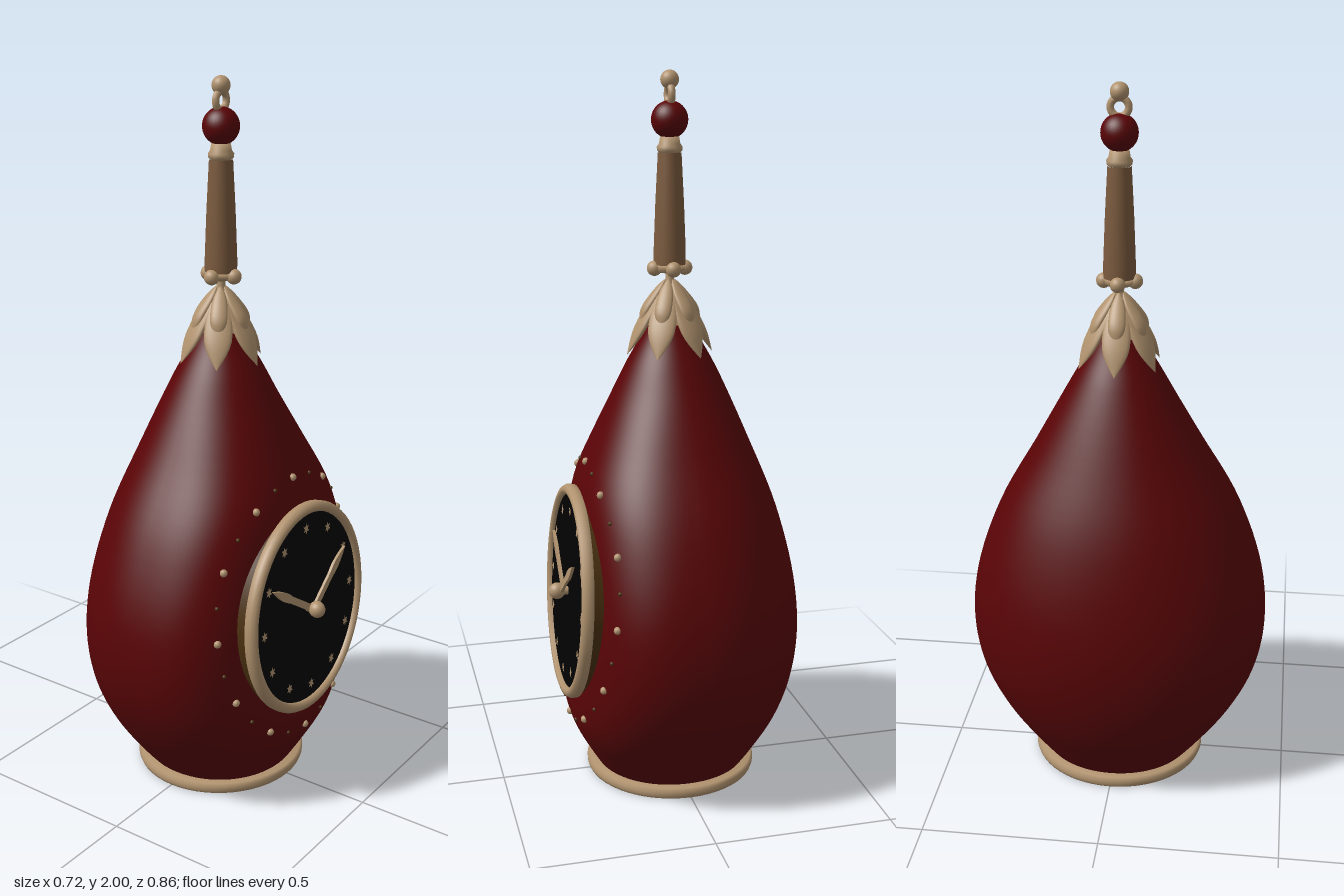
import * as THREE from 'three';
import { mergeVertices } from 'three/addons/utils/BufferGeometryUtils.js';

const mat = (name, color) => {
  const m = new THREE.MeshStandardMaterial({ color });
  m.name = name;
  return m;
};

export function createModel() {
  const root = new THREE.Group();
  root.name = 'pearClock';
  const red = mat('deep red', 0x590406);
  const tan = mat('pale wood', 0xb1936f);
  const brown = mat('brown wood', 0x7c5b3e);
  const dark = mat('dark bronze', 0x4a3010);
  const black = mat('black', 0x020202);

  const add = (parent, name, geo, m, x = 0, y = 0, z = 0) => {
    const mesh = new THREE.Mesh(geo, m);
    mesh.name = name;
    mesh.position.set(x, y, z);
    parent.add(mesh);
    return mesh;
  };
  const lathe = (pts, seg = 40) => new THREE.LatheGeometry(pts.map(p => new THREE.Vector2(...p)), seg);

  // Body: oval sections (x radius, height, z radius), squarer and flatter on the dial side
  const sections = [
    [0.212, 0.02, 0.215], [0.248, 0.08, 0.265], [0.311, 0.2, 0.35], [0.347, 0.32, 0.407], [0.361, 0.45, 0.43],
    [0.348, 0.6, 0.417], [0.298, 0.8, 0.35], [0.218, 1.0, 0.24], [0.128, 1.2, 0.13], [0.073, 1.3, 0.073], [0.016, 1.42, 0.016],
  ].map(p => new THREE.Vector3(...p));
  const rows = new THREE.CatmullRomCurve3(sections).getPoints(60);
  const frontRadius = p => {
    const flat = 0.292 - 0.06 * (p.y - 0.56);
    return (p.x ** -20 + flat ** -20) ** (-1 / 20);
  };
  const frontPower = y => 2 + 0.8 * Math.sin(Math.PI * Math.min(1, y / 1.15));
  const bodyGeo = lathe(rows.map(p => [p.z, p.y]), 120);
  const pos = bodyGeo.attributes.position;
  for (let i = 0; i < pos.count; i++) {
    const p = rows[i % rows.length];
    const s = pos.getX(i) / p.z, c = pos.getZ(i) / p.z;
    const e = 2 / (s > 0 ? frontPower(p.y) : 2.04);
    const rx = s > 0 ? frontRadius(p) : p.x;
    pos.setX(i, Math.sign(s) * rx * Math.abs(s) ** e);
    pos.setZ(i, Math.sign(c) * p.z * Math.abs(c) ** e);
  }
  bodyGeo.deleteAttribute('uv');
  bodyGeo.deleteAttribute('normal');
  const smoothBody = mergeVertices(bodyGeo, 1e-5);
  smoothBody.computeVertexNormals();
  add(root, 'body', smoothBody, red);
  add(root, 'bodyBottom', new THREE.CircleGeometry(0.236, 48).rotateX(Math.PI / 2), red, 0, 0.005, 0);

  // Base ring
  const base = add(root, 'baseRing', lathe([
    [0.233, 0.02], [0.233, 0.002], [0.237, 0], [0.243, 0.002], [0.246, 0.01], [0.246, 0.022], [0.24, 0.031], [0.2, 0.034],
  ], 56), tan);
  base.scale.z = 1.03;

  // Dial: local z points out of the clock
  const tilt = new THREE.Group();
  tilt.name = 'dial';
  tilt.position.set(0.303, 0.563, 0);
  tilt.rotation.z = 0.06;
  root.add(tilt);
  const dial = new THREE.Group();
  dial.name = 'dialParts';
  dial.rotation.y = Math.PI / 2;
  dial.scale.x = 0.94;
  tilt.add(dial);
  const facing = g => g.rotateX(Math.PI / 2);
  add(dial, 'dialCase', facing(new THREE.CylinderGeometry(0.302, 0.297, 0.04, 64)), dark, 0, 0, -0.034);
  add(dial, 'dialPlate', new THREE.CircleGeometry(0.285, 64), black, 0, 0, -0.003);
  add(dial, 'dialRim', facing(lathe([
    [0.296, -0.026], [0.305, -0.02], [0.306, -0.004], [0.3, 0.007], [0.29, 0.011], [0.281, 0.009], [0.276, 0], [0.276, -0.02],
  ], 64)), tan);

  // Hour marks: thin stars on the dial
  const hourMark = new THREE.Shape();
  for (let i = 0; i < 12; i++) {
    const r = i % 2 ? 0.008 : 0.017, a = i * Math.PI / 6;
    hourMark[i ? 'lineTo' : 'moveTo'](r * Math.sin(a), r * Math.cos(a));
  }
  const markGeo = new THREE.ShapeGeometry(hourMark);
  for (let i = 0; i < 12; i++) {
    const a = i * Math.PI / 6;
    add(dial, 'hourMark', markGeo, tan, 0.236 * Math.sin(a), 0.236 * Math.cos(a), 0.001);
  }

  // Hands and hub
  const makeHand = (name, x, y, z) => {
    const len = Math.hypot(x, y);
    const s = new THREE.Shape();
    s.moveTo(-0.01, 0);
    s.lineTo(-0.01, len * 0.55);
    s.quadraticCurveTo(-0.019, len * 0.72, 0, len);
    s.quadraticCurveTo(0.019, len * 0.72, 0.01, len * 0.55);
    s.lineTo(0.01, 0);
    const g = new THREE.ExtrudeGeometry(s, { depth: 0.008, bevelEnabled: false, curveSegments: 8 });
    add(dial, name, g, tan, 0, 0, z).rotation.z = -Math.atan2(x, y);
  };
  makeHand('minuteHand', 0.18, 0.13, 0.014);
  makeHand('hourHand', -0.2, 0.12, 0.006);
  add(dial, 'handAxle', facing(new THREE.CylinderGeometry(0.012, 0.012, 0.03, 16)), tan, 0, 0, 0.012);
  add(dial, 'handHub', new THREE.SphereGeometry(0.024, 20, 14), tan, 0, 0, 0.028);

  // Studs set in the body around the dial: pale at the hours, dark between
  const surfaceX = (y, z) => {
    const k = rows.findIndex(p => p.y > y);
    const p = rows[k - 1].clone().lerp(rows[k], (y - rows[k - 1].y) / (rows[k].y - rows[k - 1].y));
    const n = frontPower(y);
    return frontRadius(p) * Math.max(0, 1 - Math.abs(z / p.z) ** n) ** (1 / n);
  };
  const bead = new THREE.SphereGeometry(0.006, 10, 8);
  for (let i = 0; i < 24; i++) {
    const a = i * Math.PI / 12;
    const y = 0.565 + 0.376 * Math.cos(a), z = 0.332 * Math.sin(a);
    const stud = add(root, 'stud', bead, i % 2 ? dark : tan, surfaceX(y, z), y, z);
    stud.scale.setScalar(i % 2 ? 1 : 1.8);
  }

  // Leaf crown: two layers of six thick pointed leaves, each a sphere bent along a path
  const leafGeo = (path, width, thick) => {
    const curve = new THREE.CatmullRomCurve3(path.map(([r, y]) => new THREE.Vector3(r, y, 0)));
    const g = new THREE.SphereGeometry(1, 20, 18);
    const p = g.attributes.position;
    for (let i = 0; i < p.count; i++) {
      const t = (1 - p.getY(i)) / 2;
      const ring = Math.max(1e-4, Math.sqrt(1 - p.getY(i) ** 2));
      const c = curve.getPoint(t);
      const w = t < 0.6 ? Math.sin(t / 0.6 * Math.PI / 2) ** 0.7 : Math.cos((t - 0.6) / 0.4 * Math.PI / 2);
      const out = p.getX(i) / ring * w * thick;
      p.setXYZ(i, c.x + out, c.y + out * 0.5, p.getZ(i) / ring * w * width);
    }
    g.computeVertexNormals();
    return g;
  };
  const outerLeaf = leafGeo([[0.012, 1.44], [0.043, 1.385], [0.085, 1.31], [0.122, 1.238]], 0.039, 0.012);
  const innerLeaf = leafGeo([[0.012, 1.445], [0.036, 1.41], [0.07, 1.36], [0.086, 1.315]], 0.024, 0.011);
  for (let i = 0; i < 6; i++) {
    add(root, 'outerLeaf', outerLeaf, tan).rotation.y = i * Math.PI / 3;
    add(root, 'innerLeaf', innerLeaf, tan).rotation.y = i * Math.PI / 3;
  }
  add(root, 'crownCone', lathe([[0.064, 1.325], [0.045, 1.365], [0.025, 1.41], [0.018, 1.435], [0.012, 1.443], [0.012, 1.47]]), tan);

  // Handle with collar, beads and finial
  add(root, 'handleFoot', lathe([[0, 1.462], [0.034, 1.464], [0.043, 1.472], [0.043, 1.484], [0, 1.49]]), tan);
  for (let i = 0; i < 4; i++) {
    const a = i * Math.PI / 2;
    add(root, 'footBead', new THREE.SphereGeometry(0.021, 16, 12), tan, 0.043 * Math.cos(a), 1.475, 0.043 * Math.sin(a));
  }
  add(root, 'handle', lathe([[0.044, 1.485], [0.044, 1.52], [0.039, 1.65], [0.032, 1.785]]), brown);
  add(root, 'handleCollar', lathe([[0.028, 1.784], [0.034, 1.79], [0.035, 1.8], [0.029, 1.808], [0.026, 1.826], [0, 1.832]]), tan);
  add(root, 'redBall', new THREE.SphereGeometry(0.05, 32, 22), red, 0, 1.871, 0);
  add(root, 'finialLoop', new THREE.TorusGeometry(0.024, 0.01, 10, 28).rotateY(Math.PI / 2), tan, 0, 1.936, 0);
  add(root, 'finialBall', new THREE.SphereGeometry(0.025, 24, 16), tan, 0, 1.975, 0);

  return root;
}
